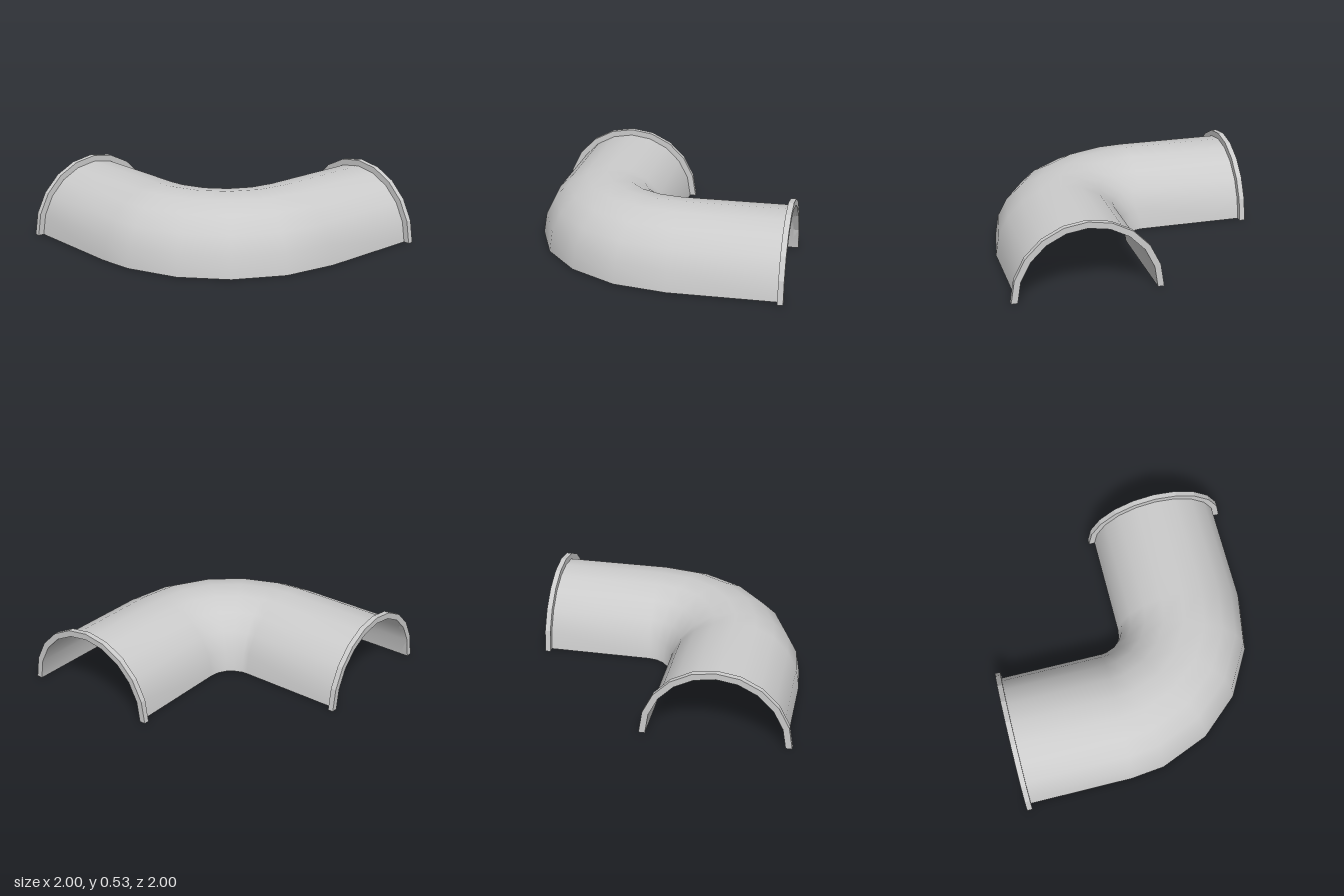
import * as THREE from 'three';

const PIPE_R = 0.485, FLANGE_R = 0.53, FLANGE_T = 0.04;
const AXIS = 0.47;            // offset of both pipe axes from the centre planes
const PIVOT = 0.2, BEND_R = AXIS + PIVOT;
const SIDES = 10;             // facets around the half circle

// Half-pipe skin swept through a straight run, a 90 degree bend and a second straight run
function elbowGeometry() {
  const stations = [{ x: -AXIS, z: -1, a: 0 }];
  for (const deg of [0, 12.5, 32, 51, 70.5, 90]) {
    const a = THREE.MathUtils.degToRad(deg);
    stations.push({ x: PIVOT - BEND_R * Math.cos(a), z: -PIVOT + BEND_R * Math.sin(a), a });
  }
  stations.push({ x: 1, z: AXIS, a: Math.PI / 2 });

  const pos = [], index = [], row = SIDES + 1;
  stations.forEach(({ x, z, a }, i) => {
    for (let j = 0; j <= SIDES; j++) {
      const t = (j / SIDES) * Math.PI;
      const out = PIPE_R * Math.cos(t);
      pos.push(x - Math.cos(a) * out, PIPE_R * Math.sin(t), z + Math.sin(a) * out);
      if (i < stations.length - 1 && j < SIDES) {
        const p = i * row + j, q = p + row;
        index.push(p, q, p + 1, q, q + 1, p + 1);
      }
    }
  });
  const g = new THREE.BufferGeometry();
  g.setAttribute('position', new THREE.Float32BufferAttribute(pos, 3));
  g.setIndex(index);
  g.computeVertexNormals();
  return g;
}

// Half-ring collar with the same facets as the pipe
function flangeGeometry() {
  const arc = (r) => Array.from({ length: SIDES + 1 }, (_, j) => {
    const t = (j / SIDES) * Math.PI;
    return new THREE.Vector2(r * Math.cos(t), r * Math.sin(t));
  });
  const shape = new THREE.Shape([...arc(FLANGE_R), ...arc(PIPE_R).reverse()]);
  return new THREE.ExtrudeGeometry(shape, { depth: FLANGE_T, bevelEnabled: false });
}

export function createModel() {
  const group = new THREE.Group();
  group.name = 'halfPipeElbow';
  const skin = new THREE.MeshStandardMaterial({ color: 0xcccccc, side: THREE.DoubleSide });
  const solid = new THREE.MeshStandardMaterial({ color: 0xcccccc });

  const pipe = new THREE.Mesh(elbowGeometry(), skin);
  pipe.name = 'pipeElbow';

  const flange = flangeGeometry();
  const backFlange = new THREE.Mesh(flange, solid);
  backFlange.name = 'backFlange';
  backFlange.position.set(-AXIS, 0, -1);

  const leftFlange = new THREE.Mesh(flange, solid);
  leftFlange.name = 'leftFlange';
  leftFlange.rotation.y = Math.PI / 2;
  leftFlange.position.set(1 - FLANGE_T, 0, AXIS);

  group.add(pipe, backFlange, leftFlange);
  return group;
}
